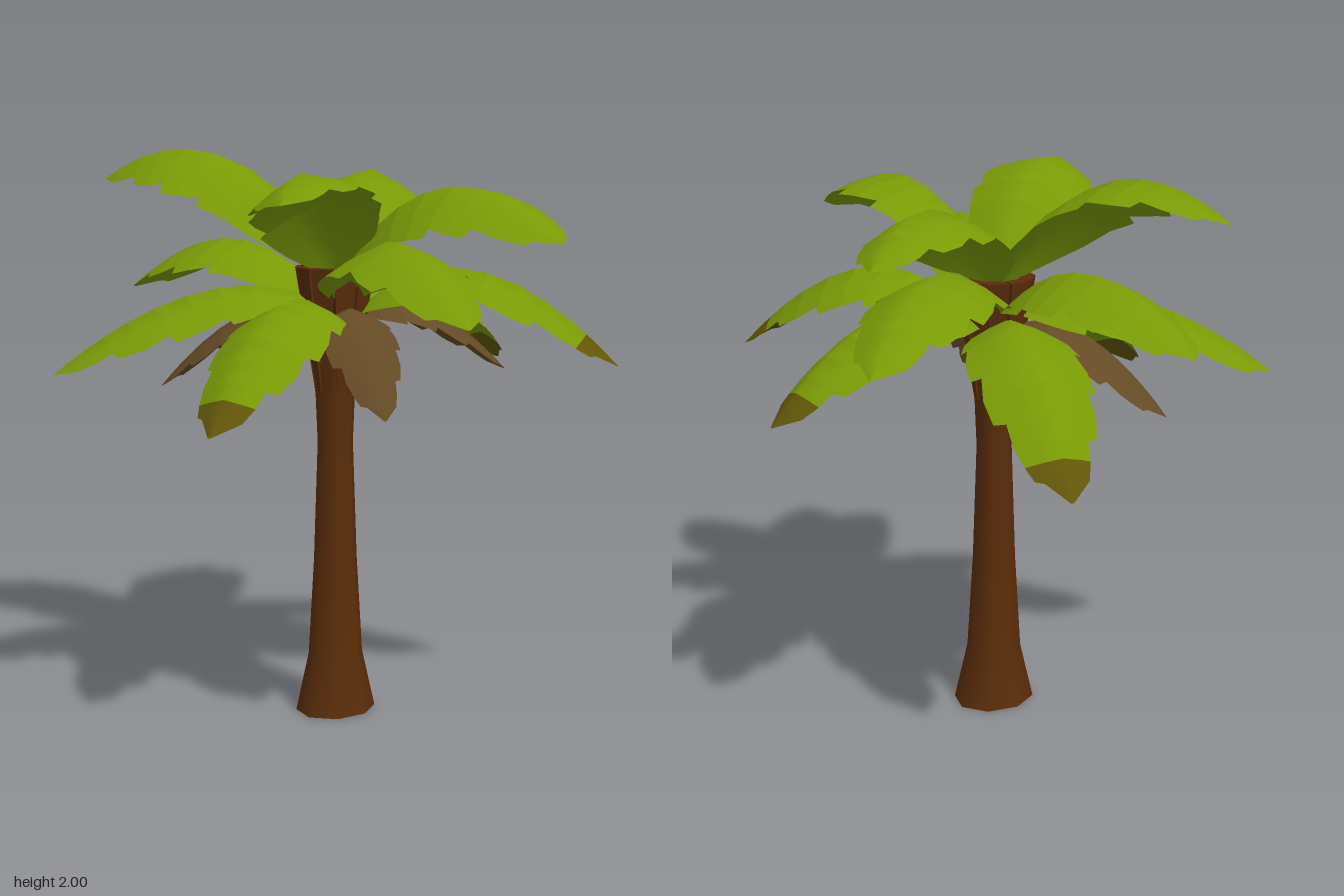
import * as THREE from 'three';

const CX = -0.045; // trunk axis

const mat = (name, color, side = THREE.FrontSide) => {
  const m = new THREE.MeshStandardMaterial({ color, side });
  m.name = name;
  return m;
};

// Jagged frond outline: distance along frond, left and right half-width
const OUTLINE = [
  [0, 0.12, 0.12], [0.06, 0.4, 0.38], [0.12, 0.64, 0.6], [0.2, 0.84, 0.8], [0.3, 0.98, 0.9], [0.31, 0.88, 0.9],
  [0.42, 1, 1], [0.432, 1, 0.86], [0.54, 1.02, 0.98], [0.552, 0.86, 0.98],
  [0.65, 0.93, 1], [0.662, 0.93, 0.82], [0.75, 0.88, 0.84], [0.762, 0.7, 0.83],
  [0.83, 0.68, 0.72], [0.842, 0.67, 0.54], [0.895, 0.58, 0.5], [0.935, 0.48, 0.42], [0.945, 0.34, 0.4], [1, 0.02, 0.02],
];
const TIP_ROW = 16; // first row of the withered tip

// Arched leaf from the crown to a tip, highest at `peak`, with drooping sides and some roll
function frondGeometry(startR, startY, half, tip, peak, roll = 0) {
  const heading = new THREE.Vector3(tip[0] - CX, 0, tip[2]);
  const reach = heading.length();
  heading.normalize();
  const level = new THREE.Vector3(heading.z, 0, -heading.x);
  const h = peak - startY;
  const rise = h + Math.sqrt(Math.max(0, h * h + h * (startY - tip[1])));
  const at = (r, y) => new THREE.Vector3(CX + heading.x * r, y, heading.z * r);
  const curve = new THREE.QuadraticBezierCurve3(
    at(startR, startY), at(reach * 0.46, startY + rise), at(reach, tip[1]));

  const pos = [], idx = [];
  for (const [t, wl, wr] of OUTLINE) {
    const p = curve.getPoint(t);
    const tangent = curve.getTangent(t);
    const side = level.clone().applyAxisAngle(tangent, -roll);
    const up = new THREE.Vector3().crossVectors(tangent, side).normalize();
    const inner = 0.5 * Math.max(wl, wr); // inner columns ignore the notches
    for (const [s, k] of [[-1, wl], [-1, inner], [0, 0], [1, inner], [1, wr]]) {
      const w = half * k;
      const drop = w * (0.3 + 0.2 * k);
      const v = p.clone().addScaledVector(side, s * w).addScaledVector(up, -drop);
      pos.push(v.x, v.y, v.z);
    }
  }
  for (let i = 0; i < OUTLINE.length - 1; i++) {
    for (let j = 0; j < 4; j++) {
      const a = i * 5 + j, b = a + 1, c = a + 5, d = a + 6;
      idx.push(a, b, c, b, d, c);
    }
  }
  const g = new THREE.BufferGeometry();
  g.setAttribute('position', new THREE.Float32BufferAttribute(pos, 3));
  g.setIndex(idx);
  g.computeVertexNormals();
  g.addGroup(0, TIP_ROW * 24, 0);
  g.addGroup(TIP_ROW * 24, idx.length - TIP_ROW * 24, 1);
  return g;
}

// Wedge-shaped leaf base: pointed below, broad above
function stubGeometry() {
  const g = new THREE.BoxGeometry(1, 1, 1);
  const p = g.attributes.position;
  for (let i = 0; i < p.count; i++) {
    const top = p.getY(i) > 0, outer = p.getZ(i) > 0;
    p.setXYZ(i,
      p.getX(i) * (top ? (outer ? 0.082 : 0.055) : 0.025),
      top ? 1.6 : 1.16,
      top ? (outer ? 0.138 : 0.09) : (outer ? 0.07 : 0.05));
  }
  g.computeVertexNormals();
  return g;
}

export function createModel() {
  const group = new THREE.Group();
  const green = mat('leafGreen', 0x7a9a06, THREE.DoubleSide);
  const olive = mat('witheredTip', 0x625608, THREE.DoubleSide);
  const dead = mat('deadLeaf', 0x654b26, THREE.DoubleSide);
  const bark = mat('bark', 0x5a2d0a, THREE.DoubleSide);
  const darkBark = mat('darkBark', 0x3c1d0b);

  const add = (name, geometry, material) => {
    const m = new THREE.Mesh(geometry, material);
    m.name = name;
    group.add(m);
    return m;
  };

  // Hollow trunk with a wider oval foot
  const profile = [[0.156, 0], [0.101, 0.21], [0.077, 0.56], [0.063, 0.98], [0.072, 1.2], [0.08, 1.26]];
  const trunkGeo = new THREE.LatheGeometry(profile.map(([r, y]) => new THREE.Vector2(r, y)), 8);
  const tp = trunkGeo.attributes.position;
  for (let i = 0; i < tp.count; i++) {
    if (tp.getY(i) < 0.3) tp.setZ(i, tp.getZ(i) * (tp.getY(i) < 0.1 ? 0.85 : 0.93));
  }
  add('trunk', trunkGeo, bark).position.x = CX;

  // Crown core and the ring of leaf bases
  const core = add('crownCore', new THREE.CylinderGeometry(0.112, 0.062, 0.37, 10), darkBark);
  core.position.set(CX, 1.375, 0);
  const stub = stubGeometry();
  for (let i = 0; i < 10; i++) {
    const s = add('leafBase', stub, bark);
    s.position.x = CX;
    s.rotation.y = (i / 10) * Math.PI * 2;
  }

  // Fronds: [tip x, y, z], highest point, roll (positive lifts the left side)
  const upper = [
    [[-0.24, 1.89, -0.91], 2.0, 0.22], [[-0.05, 1.72, 0.93], 1.89, -0.25],
    [[-0.74, 1.85, 0.32], 1.94, -0.22], [[0.77, 1.79, -0.35], 1.92, -0.1],
  ];
  const middle = [
    [[-0.08, 1.48, -0.93], 1.68], [[0.87, 1.49, -0.47], 1.71],
    [[-0.57, 1.49, 0.91], 1.72], [[-0.8, 1.25, -0.63], 1.54],
  ];
  const lower = [
    [[-0.87, 1.12, 0.13], 1.51], [[0.84, 1.2, 0.11], 1.54],
    [[0.42, 1.27, 0.87], 1.6], [[0.37, 1.08, -0.84], 1.5],
  ];
  const withered = [
    [[-0.32, 1.13, 0.42], 1.47], [[0.5, 1.21, 0.36], 1.47], [[-0.33, 1.16, -0.57], 1.46],
  ];
  const ring = (name, list, r, y, half, mats) => list.forEach((leaf) =>
    add(name, frondGeometry(r, y, half, ...leaf), mats));
  ring('upperFrond', upper, 0.02, 1.57, 0.215, [green, green]);
  ring('middleFrond', middle, 0.05, 1.48, 0.21, [green, green]);
  ring('lowerFrond', lower, 0.06, 1.43, 0.2, [green, olive]);
  ring('deadFrond', withered, 0.07, 1.42, 0.14, [dead, dead]);
  return group;
}
